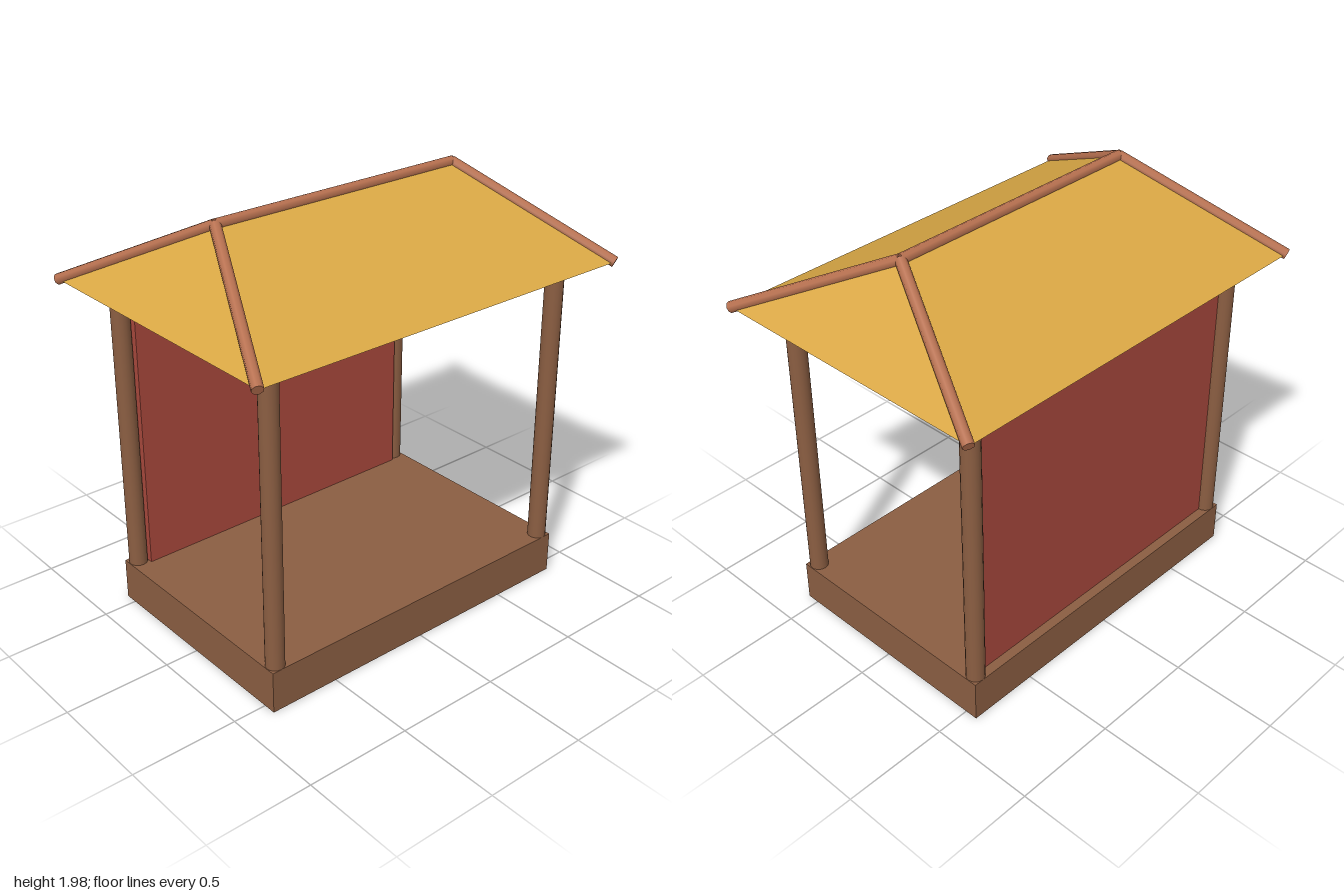
import * as THREE from 'three';

const material = (name, color) => {
  const m = new THREE.MeshStandardMaterial({ color });
  m.name = name;
  return m;
};

export function createModel() {
  const group = new THREE.Group();
  const wood = material('brown wood', 0x8b5e42);
  const trim = material('copper wood', 0xb87150);
  const wallRed = material('wall red', 0xa8483c);
  const straw = material('roof gold', 0xdaa845);

  const add = (name, geometry, mat, x = 0, y = 0, z = 0) => {
    const mesh = new THREE.Mesh(geometry, mat);
    mesh.name = name;
    mesh.position.set(x, y, z);
    group.add(mesh);
    return mesh;
  };

  // Floor platform and back wall
  add('base', new THREE.BoxGeometry(1.68, 0.2, 1.12), wood, 0, 0.1, 0);
  add('backWall', new THREE.BoxGeometry(1.51, 1.27, 0.045), wallRed, 0, 0.835, -0.4925);

  // Corner posts
  const postGeometry = new THREE.CylinderGeometry(0.043, 0.043, 1.4, 16);
  for (const x of [-1, 1]) for (const z of [-1, 1]) {
    add('post', postGeometry, wood, x * 0.795, 0.9, z * 0.517);
  }

  // Closed hip roof: a box whose top edge is drawn in to the ridge
  const W = 0.977, D = 0.697, EAVE = 1.6, RIDGE = 1.957, RX = 0.645;
  const box = new THREE.BoxGeometry(2 * W, RIDGE - EAVE, 2 * D);
  const p = box.attributes.position;
  for (let i = 0; i < p.count; i++) {
    if (p.getY(i) > 0) {
      p.setX(i, Math.sign(p.getX(i)) * RX);
      p.setZ(i, 0);
    }
  }
  const roofGeometry = box.toNonIndexed();
  roofGeometry.computeVertexNormals();
  add('roof', roofGeometry, straw, 0, (EAVE + RIDGE) / 2, 0);

  // Round poles along the ridge and hips
  const pole = (name, a, b) => {
    const dir = b.clone().sub(a);
    const mid = a.clone().add(b).multiplyScalar(0.5);
    const mesh = add(name, new THREE.CylinderGeometry(0.025, 0.025, dir.length(), 8), trim, mid.x, mid.y, mid.z);
    mesh.quaternion.setFromUnitVectors(new THREE.Vector3(0, 1, 0), dir.normalize());
  };
  pole('ridgePole', new THREE.Vector3(-RX, RIDGE, 0), new THREE.Vector3(RX, RIDGE, 0));
  for (const x of [-1, 1]) for (const z of [-1, 1]) {
    pole('hipPole', new THREE.Vector3(x * W, EAVE, z * D), new THREE.Vector3(x * RX, RIDGE, 0));
  }
  return group;
}
